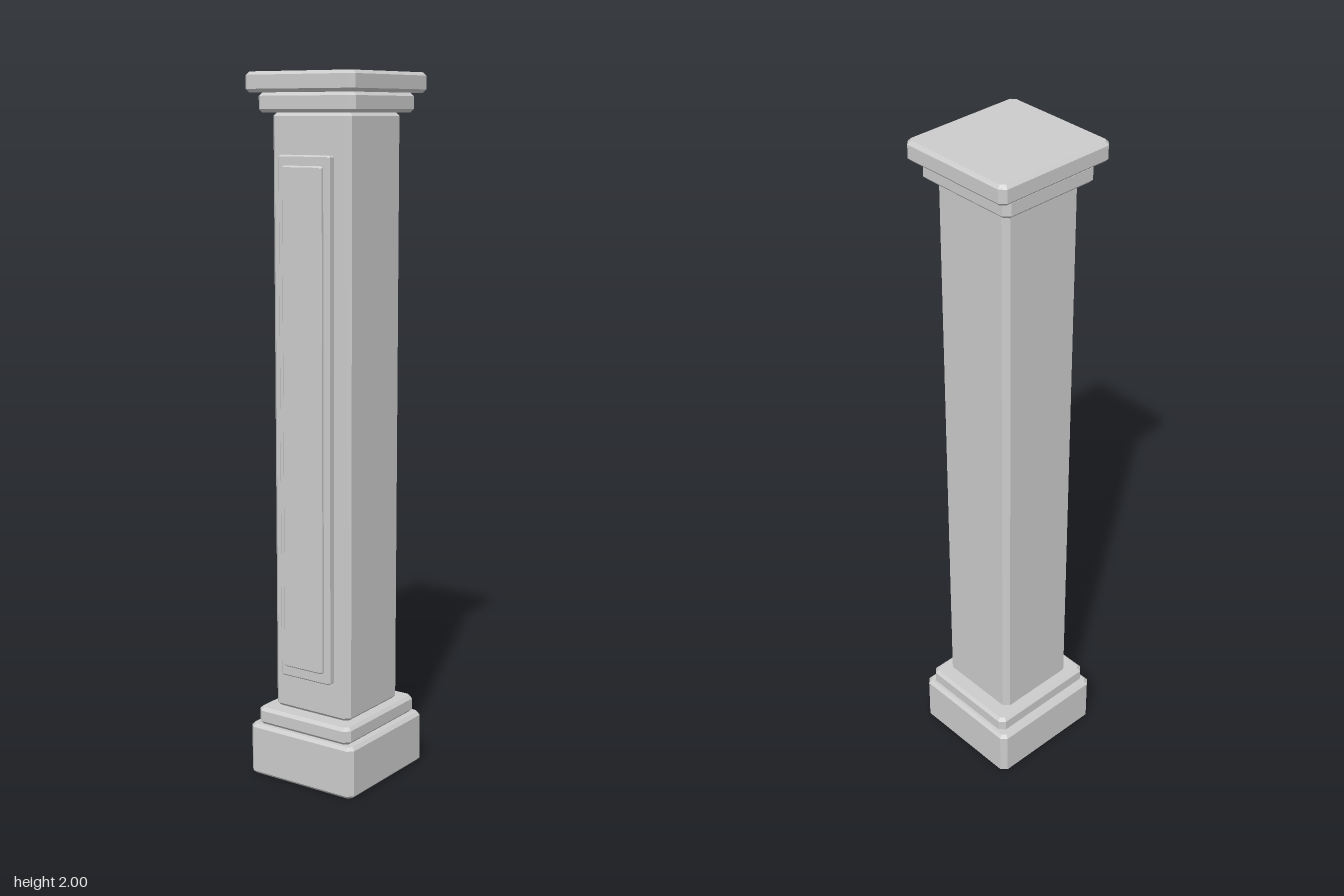
import * as THREE from 'three';

// Block with clipped corners and bevelled ends, extruded along +z from 0 to depth
function bevelledBlock(halfW, halfH, depth, cut, bevel) {
  const shape = new THREE.Shape([
    [halfW - cut, -halfH], [halfW, -halfH + cut], [halfW, halfH - cut], [halfW - cut, halfH],
    [-halfW + cut, halfH], [-halfW, halfH - cut], [-halfW, -halfH + cut], [-halfW + cut, -halfH],
  ].map(([x, y]) => new THREE.Vector2(x, y)));
  const geometry = new THREE.ExtrudeGeometry(shape, {
    depth: depth - 2 * bevel,
    bevelEnabled: true,
    bevelSegments: 1,
    bevelSize: bevel,
    bevelOffset: -bevel,
    bevelThickness: bevel,
  });
  return geometry.translate(0, 0, bevel);
}

export function createModel() {
  const column = new THREE.Group();
  column.name = 'column';
  const stone = new THREE.MeshStandardMaterial({ color: 0xcccccc });
  stone.name = 'stone grey';

  const add = (name, geometry) => {
    const mesh = new THREE.Mesh(geometry, stone);
    mesh.name = name;
    column.add(mesh);
  };

  // Stacked tiers: name, half width, half depth, bottom, top
  const tiers = [
    ['basePlinth', 0.18, 0.187, 0, 0.152],
    ['baseMoulding', 0.16, 0.175, 0.152, 0.202],
    ['shaft', 0.13, 0.13, 0.202, 1.892],
    ['capMoulding', 0.16, 0.156, 1.892, 1.945],
    ['capSlab', 0.18, 0.187, 1.945, 2],
  ];
  for (const [name, halfW, halfD, bottom, top] of tiers) {
    const geometry = bevelledBlock(halfW, halfD, top - bottom, 0.016, 0.009);
    add(name, geometry.rotateX(-Math.PI / 2).translate(0, bottom, 0));
  }

  // Raised front panels: name, half width, bottom, top, back, front
  const panels = [
    ['outerPanel', 0.085, 0.31, 1.78, 0.13, 0.156],
    ['innerPanel', 0.066, 0.342, 1.752, 0.15, 0.167],
  ];
  for (const [name, halfW, bottom, top, back, front] of panels) {
    const geometry = bevelledBlock(halfW, (top - bottom) / 2, front - back, 0.005, 0.004);
    add(name, geometry.translate(0, (top + bottom) / 2, back));
  }

  return column;
}
